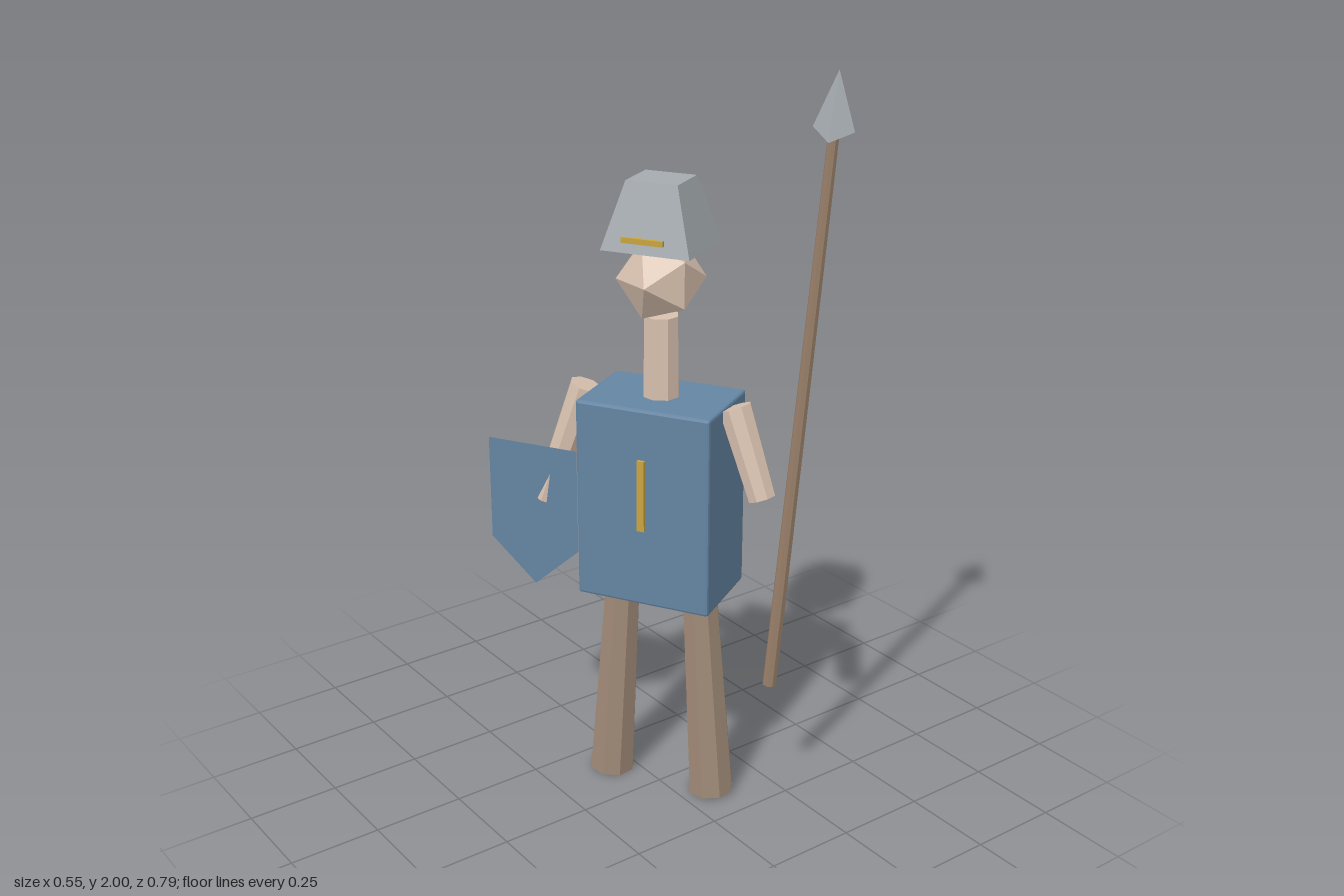
import * as THREE from 'three';
import { RoundedBoxGeometry } from 'three/addons/geometries/RoundedBoxGeometry.js';

const mat = (name, color, side = THREE.FrontSide) => {
  const m = new THREE.MeshStandardMaterial({ color, flatShading: true, side });
  m.name = name;
  return m;
};

export function createModel() {
  const cloth = mat('blue cloth', 0x6485a3, THREE.DoubleSide);
  const skin = mat('skin', 0xd8c1af);
  const trousers = mat('brown trousers', 0xa08a78);
  const wood = mat('wood', 0x9a806a);
  const steel = mat('steel', 0xa4abaf);
  const gold = mat('gold', 0xc9a540);

  const model = new THREE.Group();
  model.name = 'guard';
  // The figure stands turned towards its right
  const figure = new THREE.Group();
  figure.name = 'figure';
  figure.rotation.y = -Math.PI / 3;
  figure.position.set(0.015, 0, -0.0125);
  model.add(figure);

  const add = (name, geometry, material, x = 0, y = 0, z = 0) => {
    const mesh = new THREE.Mesh(geometry, material);
    mesh.name = name;
    mesh.position.set(x, y, z);
    figure.add(mesh);
    return mesh;
  };

  // Tapered eight-sided limb between two points
  const limb = (name, material, from, to, rFrom, rTo) => {
    const a = new THREE.Vector3(...from), b = new THREE.Vector3(...to);
    const axis = b.clone().sub(a);
    const mesh = add(name, new THREE.CylinderGeometry(rTo, rFrom, axis.length(), 8), material);
    mesh.position.copy(a).add(b).multiplyScalar(0.5);
    mesh.quaternion.setFromUnitVectors(new THREE.Vector3(0, 1, 0), axis.normalize());
    return mesh;
  };

  // Body
  add('torso', new RoundedBoxGeometry(0.37, 0.545, 0.25, 1, 0.007), cloth, 0, 0.8725, 0);
  add('tunicStripe', new THREE.BoxGeometry(0.02, 0.195, 0.009), gold, 0, 0.912, 0.1295);
  limb('neck', skin, [0, 1.13, 0], [0, 1.36, 0], 0.049, 0.046);

  // Head, with its lower edge turned across the jaw
  const head = add('head', new THREE.IcosahedronGeometry(0.114), skin, 0, 1.457, 0);
  head.rotation.y = Math.PI / 3;

  // Four-sided helmet with a gold band
  const helmet = new THREE.CylinderGeometry(0.138 / Math.SQRT2, 0.238 / Math.SQRT2, 0.17, 4);
  helmet.rotateY(Math.PI / 4).scale(1, 1, 0.87);
  add('helmet', helmet, steel, 0, 1.625, 0);
  add('helmetBand', new THREE.BoxGeometry(0.11, 0.014, 0.009), gold, 0, 1.577, 0.115);

  // Legs
  for (const [name, s] of [['leftLeg', 1], ['rightLeg', -1]]) {
    limb(name, trousers, [s * 0.151, 0.005, 0], [s * 0.111, 0.62, 0], 0.063, 0.048);
  }

  // Arms
  limb('leftArm', skin, [0.29, 0.915, 0.023], [0.203, 1.142, 0], 0.037, 0.044);
  limb('rightArm', skin, [-0.32, 0.815, 0.033], [-0.212, 1.142, 0.002], 0.037, 0.044);

  // Spear
  limb('spearShaft', wood, [0.308, 0.36, -0.0185], [0.43, 1.85, -0.0185], 0.019, 0.014);
  const point = new THREE.ConeGeometry(0.052, 0.165, 4);
  const p = point.attributes.position;
  for (let i = 0; i < p.count; i++) {
    // Lift the two wide corners of the base
    if (p.getY(i) < 0) p.setY(i, p.getY(i) + 0.5 * Math.abs(p.getX(i)));
  }
  point.scale(1, 1, 0.62);
  add('spearHead', point, steel, 0.433, 1.9175, -0.0185).rotation.z = -0.06;

  // Flat shield beside the right hand
  const outline = new THREE.Shape([
    [-0.13, 0.975], [-0.13, 0.685], [0, 0.567], [0.13, 0.685], [0.13, 0.975],
  ].map(([x, y]) => new THREE.Vector2(x, y)));
  add('shield', new THREE.ShapeGeometry(outline), cloth, -0.344, 0, 0.064);

  return model;
}
